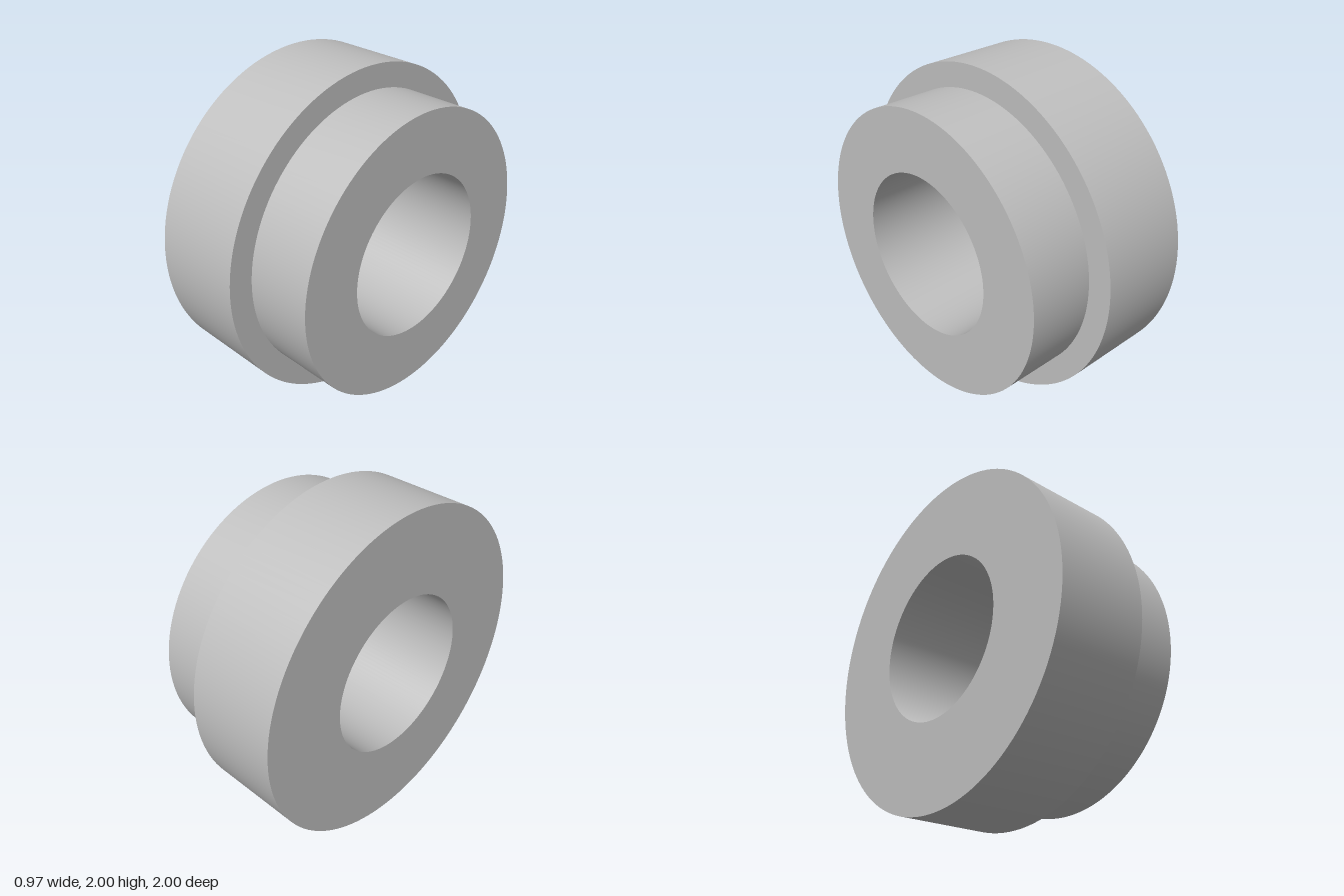
import * as THREE from 'three';
import { toCreasedNormals } from 'three/addons/utils/BufferGeometryUtils.js';

export function createModel() {
  const group = new THREE.Group();
  group.name = 'steppedBushing';

  const grey = new THREE.MeshStandardMaterial({ color: 0xbfbfbf });
  grey.name = 'grey';

  const bore = 0.488, flange = 1, collar = 0.857;
  const end = 0.485, step = 0.08;

  // Closed section (radius, position along the axis), counterclockwise
  const section = [
    [bore, -end], [flange, -end], [flange, step],
    [collar, step], [collar, end], [bore, end], [bore, -end],
  ].map(([r, a]) => new THREE.Vector2(r, a));

  // Wide flange, narrower collar and through bore turned as one ring
  const geometry = toCreasedNormals(new THREE.LatheGeometry(section, 128), Math.PI / 6);
  geometry.rotateZ(-Math.PI / 2); // axis along x, collar towards +x

  const ring = new THREE.Mesh(geometry, grey);
  ring.name = 'bushingRing';
  ring.position.y = 1;
  group.add(ring);
  return group;
}
